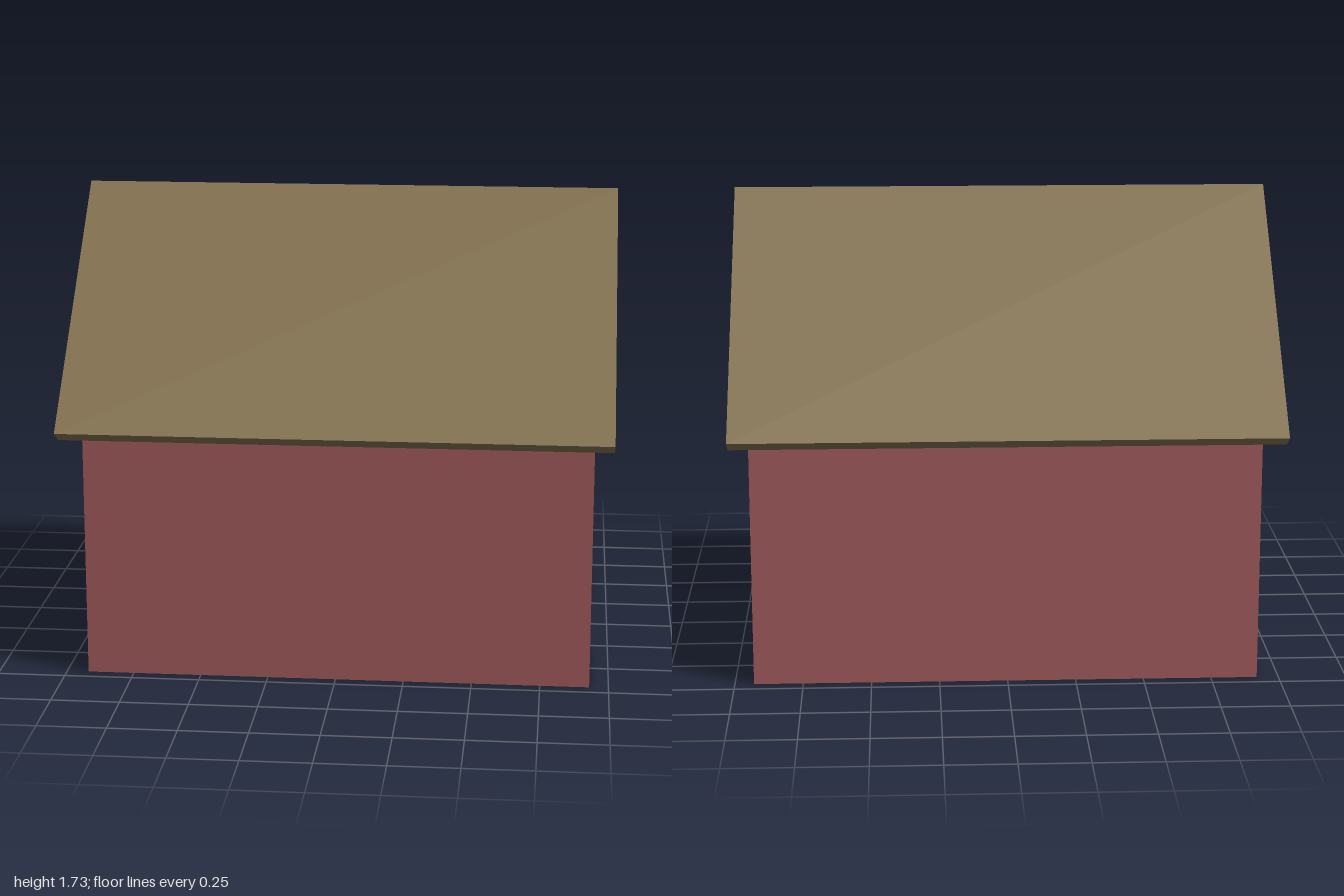
import * as THREE from 'three';

const WALL = 0xa85f60, WOOD = 0x85734f;
const BACK = -0.92, FRONT = 0.93, HALF = 0.7, EAVE = 0.943, PEAK = 1.62;

// Profiles are drawn in (-z, y); this turn sends their depth along +x.
const makeMesh = (name, geometry, color) => {
  const material = new THREE.MeshStandardMaterial({ color, flatShading: true, side: THREE.DoubleSide });
  const mesh = new THREE.Mesh(geometry, material);
  mesh.name = name;
  return mesh;
};
const shapeOf = (points) => new THREE.Shape(points.map(([x, y]) => new THREE.Vector2(x, y)));
const extrude = (points, depth) => new THREE.ExtrudeGeometry(shapeOf(points), { depth, bevelEnabled: false });

// Strip swept from a profile line, from depth a to depth b
function strip(points, a, b) {
  const v = [];
  for (let i = 0; i < points.length - 1; i++) {
    const [p, q] = [points[i], points[i + 1]];
    v.push(...p, a, ...q, a, ...q, b, ...p, a, ...q, b, ...p, b);
  }
  const g = new THREE.BufferGeometry();
  g.setAttribute('position', new THREE.Float32BufferAttribute(v, 3));
  g.computeVertexNormals();
  return g;
}

export function createModel() {
  const house = new THREE.Group();
  house.name = 'kennel';
  const turned = new THREE.Group();
  turned.name = 'kennelParts';
  turned.rotation.y = Math.PI / 2;
  house.add(turned);

  // Hand-cut, slightly uneven doorway
  const door = [
    [-0.32, 0], [-0.30, 0.56], [-0.26, 0.71], [-0.14, 0.79], [0.01, 0.82],
    [0.19, 0.78], [0.28, 0.71], [0.32, 0.57], [0.335, 0.2], [0.34, 0],
  ];
  const gable = [[HALF, 0], [HALF, EAVE], [0, PEAK], [-HALF, EAVE], [-HALF, 0]];

  // Thin gable walls; the doorway notches the front one
  const frontWall = makeMesh('frontWall', new THREE.ShapeGeometry(shapeOf([...gable, ...door])), WALL);
  frontWall.position.z = FRONT;
  const backWall = makeMesh('backWall', new THREE.ShapeGeometry(shapeOf(gable)), WALL);
  backWall.position.z = BACK;
  turned.add(frontWall, backWall);

  // Side walls
  for (const s of [-1, 1]) {
    const line = [[s * HALF, 0], [s * HALF, EAVE]];
    if (s > 0) line.reverse();
    turned.add(makeMesh(s > 0 ? 'rearSideWall' : 'nearSideWall', strip(line, FRONT, BACK), WALL));
  }

  // Door jamb running inward
  turned.add(makeMesh('doorJamb', strip(door, FRONT, FRONT - 0.07), WALL));

  // Pitched roof with square-cut eaves
  const roof = makeMesh('roof', extrude([
    [0, 1.725], [-0.81, 0.94], [-0.745, 0.9], [0, PEAK], [0.745, 0.9], [0.81, 0.94],
  ], 2), WOOD);
  roof.position.z = -1;
  turned.add(roof);

  // Crooked name board above the door
  const board = makeMesh('nameBoard', extrude([
    [-0.26, 1.11], [-0.27, 0.975], [0.28, 0.925], [0.29, 1.06],
  ], 0.05), WOOD);
  board.position.z = FRONT;
  turned.add(board);

  return house;
}
